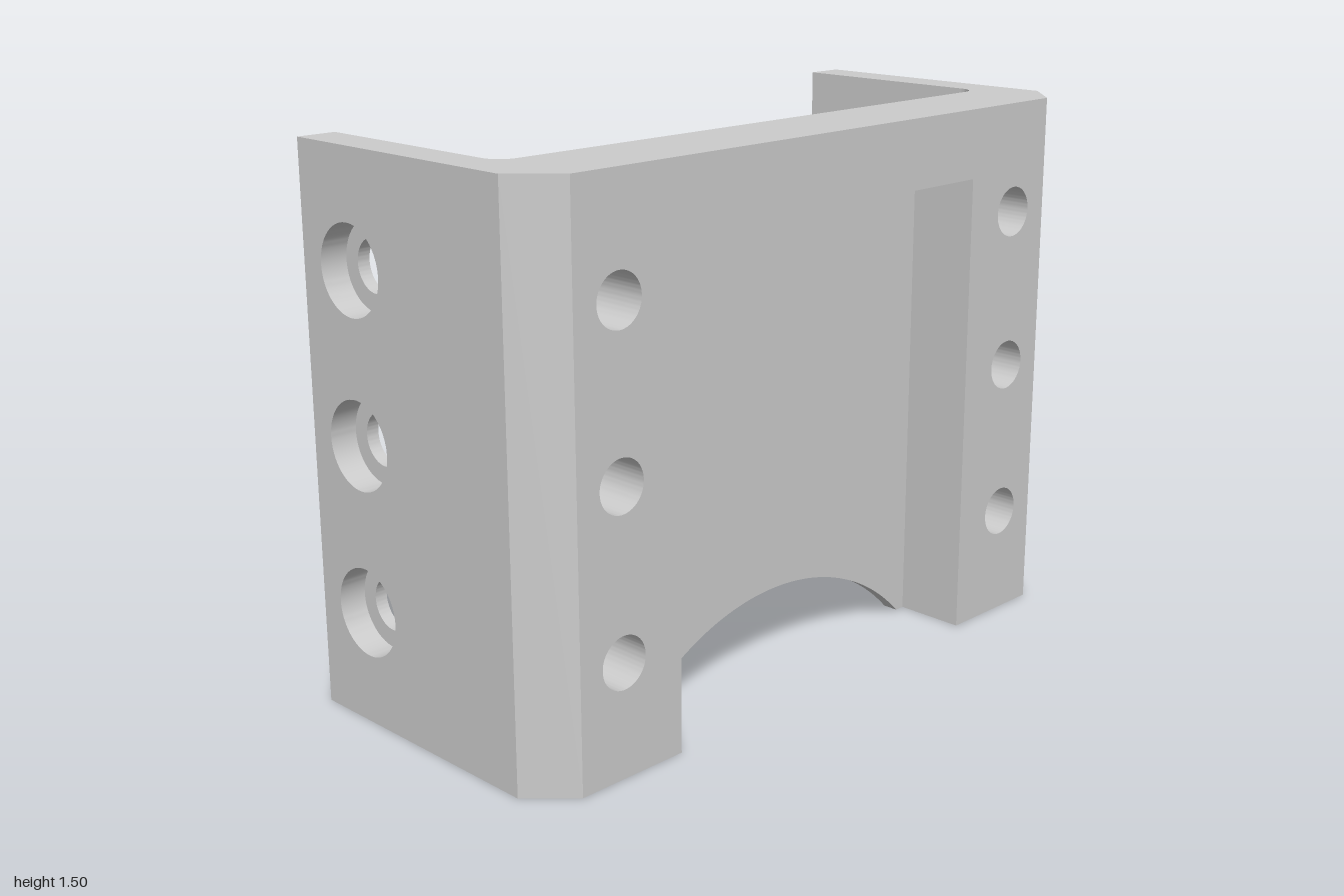
import * as THREE from 'three';
import { toCreasedNormals } from 'three/addons/utils/BufferGeometryUtils.js';

const H = 1.5;                     // height
const FRONT = 0.44, BACK = -0.44;  // depth limits
const INNER = 0.89;                // inner face of the side walls
const PLATE = 0.195, WEB = 0.24;   // back of the front plate, floor of its recess
const FILLET = 0.055;
const SEAM = INNER - FILLET;       // where the plate meets the corner posts
const HOLE_Y = [0.305, 0.75, 1.195];

const material = new THREE.MeshStandardMaterial({ color: 0xcccccc });

function addHoles(shape, x, radius) {
  for (const y of HOLE_Y) {
    const hole = new THREE.Path();
    hole.absarc(x, y, radius, 0, Math.PI * 2, true);
    shape.holes.push(hole);
  }
}

function extrude(shape, depth) {
  const geometry = new THREE.ExtrudeGeometry(shape, { depth, bevelEnabled: false, curveSegments: 40 });
  return toCreasedNormals(geometry, 0.5);
}

function addMesh(group, name, geometry) {
  const mesh = new THREE.Mesh(geometry, material);
  mesh.name = name;
  group.add(mesh);
}

// Thick frame around the front recess, open at the bottom
function frontFrame() {
  const s = new THREE.Shape();
  [[-SEAM, 0], [-0.56, 0], [-0.56, 1.31], [0.56, 1.31], [0.56, 0], [SEAM, 0], [SEAM, H], [-SEAM, H]]
    .forEach(([x, y], i) => (i ? s.lineTo(x, y) : s.moveTo(x, y)));
  addHoles(s, -0.75, 0.07);
  addHoles(s, 0.75, 0.07);
  return extrude(s, FRONT - WEB).translate(0, 0, WEB);
}

// Thin web behind the recess, with the arched cut-out
function frontWeb() {
  const s = new THREE.Shape();
  const half = 0.53, drop = 0.51;
  s.moveTo(-SEAM, 0);
  s.lineTo(-half, 0);
  s.absarc(0, -drop, Math.hypot(half, drop), Math.atan2(drop, -half), Math.atan2(drop, half), true);
  s.lineTo(SEAM, 0);
  s.lineTo(SEAM, H);
  s.lineTo(-SEAM, H);
  addHoles(s, -0.75, 0.07);
  addHoles(s, 0.75, 0.07);
  return extrude(s, WEB - PLATE).translate(0, 0, PLATE);
}

// Corner post: chamfered outside, filleted inside
function cornerPost(side) {
  const zc = PLATE - FILLET;
  const s = new THREE.Shape();
  s.moveTo(side * SEAM, FRONT);
  s.lineTo(side * INNER, FRONT);
  s.lineTo(side, FRONT - 0.11);
  s.lineTo(side, zc);
  s.lineTo(side * INNER, zc);
  for (let i = 1; i <= 12; i++) {
    const a = (i / 12) * Math.PI / 2;
    s.lineTo(side * (SEAM + FILLET * Math.cos(a)), zc + FILLET * Math.sin(a));
  }
  return extrude(s, H).rotateX(Math.PI / 2).translate(0, H, 0);
}

// One layer of a side wall between two x positions
function wallLayer(x0, x1, radius) {
  const s = new THREE.Shape();
  const front = -(PLATE - FILLET);
  s.moveTo(front, 0);
  s.lineTo(-BACK, 0);
  s.lineTo(-BACK, H);
  s.lineTo(front, H);
  addHoles(s, 0.25, radius);
  return extrude(s, x1 - x0).rotateY(Math.PI / 2).translate(x0, 0, 0);
}

export function createModel() {
  const group = new THREE.Group();
  group.name = 'mountingBracket';
  addMesh(group, 'frontFrame', frontFrame());
  addMesh(group, 'frontWeb', frontWeb());

  const step = 0.925; // floor of the counterbores
  for (const side of [-1, 1]) {
    const label = side > 0 ? 'left' : 'right';
    const span = (a, b) => (side > 0 ? [a, b] : [-b, -a]);
    addMesh(group, label + 'CornerPost', cornerPost(side));
    addMesh(group, label + 'WallInner', wallLayer(...span(INNER, step), 0.07));
    addMesh(group, label + 'WallCounterbored', wallLayer(...span(step, 1), 0.118));
  }
  return group;
}
